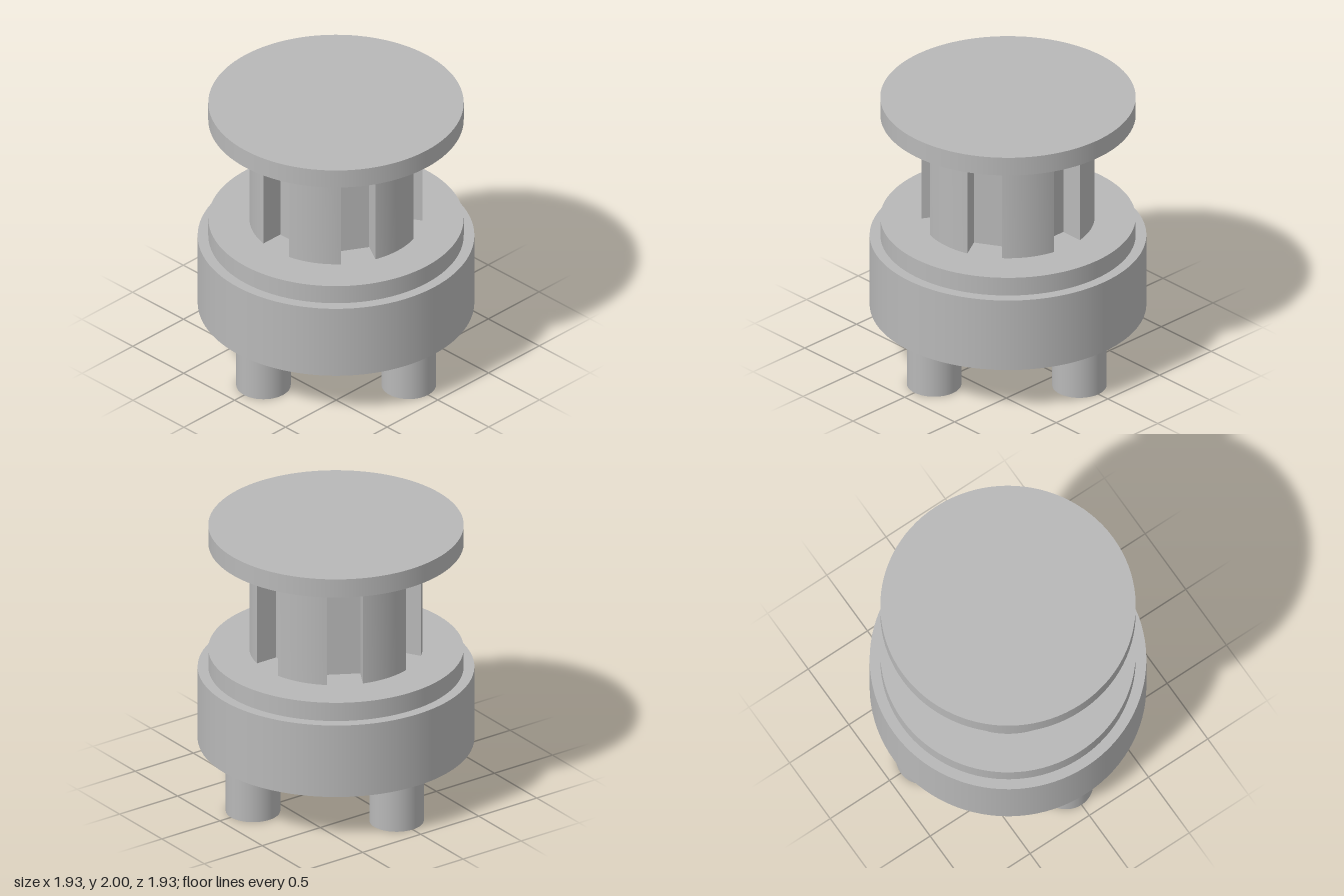
import * as THREE from 'three';
import { toCreasedNormals } from 'three/addons/utils/BufferGeometryUtils.js';

const grey = new THREE.MeshStandardMaterial({ color: 0xb8b8b8 });
grey.name = 'plain grey';

// Upright cylinder between two heights
function disc(name, radius, y0, y1, x = 0, z = 0, segments = 96) {
  const mesh = new THREE.Mesh(new THREE.CylinderGeometry(radius, radius, y1 - y0, segments), grey);
  mesh.name = name;
  mesh.position.set(x, (y0 + y1) / 2, z);
  return mesh;
}

// Round column with six straight, flat-bottomed slots cut down its sides
function slottedColumn(radius, floor, halfSlot, y0, y1) {
  const slots = 6, step = (Math.PI * 2) / slots;
  const edge = Math.asin(halfSlot / radius);
  const shape = new THREE.Shape();
  for (let i = 0; i < slots; i++) {
    const a = i * step, next = a + step;
    shape.absarc(0, 0, radius, a + edge, next - edge, false);
    for (const side of [-halfSlot, halfSlot]) {
      shape.lineTo(
        floor * Math.cos(next) - side * Math.sin(next),
        floor * Math.sin(next) + side * Math.cos(next)
      );
    }
  }
  shape.closePath();
  const geometry = new THREE.ExtrudeGeometry(shape, { depth: y1 - y0, bevelEnabled: false, curveSegments: 12 });
  geometry.rotateX(-Math.PI / 2);
  const mesh = new THREE.Mesh(toCreasedNormals(geometry, Math.PI / 6), grey);
  mesh.name = 'slottedColumn';
  mesh.position.y = y0;
  return mesh;
}

export function createModel() {
  const model = new THREE.Group();
  model.name = 'slottedPedestal';

  // Four feet on the axes
  const feet = new THREE.Group();
  feet.name = 'feet';
  const names = ['leftFoot', 'frontFoot', 'rightFoot', 'backFoot'];
  names.forEach((name, i) => {
    const a = (i * Math.PI) / 2;
    feet.add(disc(name, 0.19, 0, 0.36, 0.715 * Math.cos(a), 0.715 * Math.sin(a), 48));
  });

  model.add(
    feet,
    disc('baseDrum', 0.963, 0.36, 0.91),
    disc('baseStep', 0.889, 0.91, 1.05),
    slottedColumn(0.603, 0.424, 0.125, 1.05, 1.86),
    disc('topPlate', 0.889, 1.86, 2)
  );
  return model;
}
